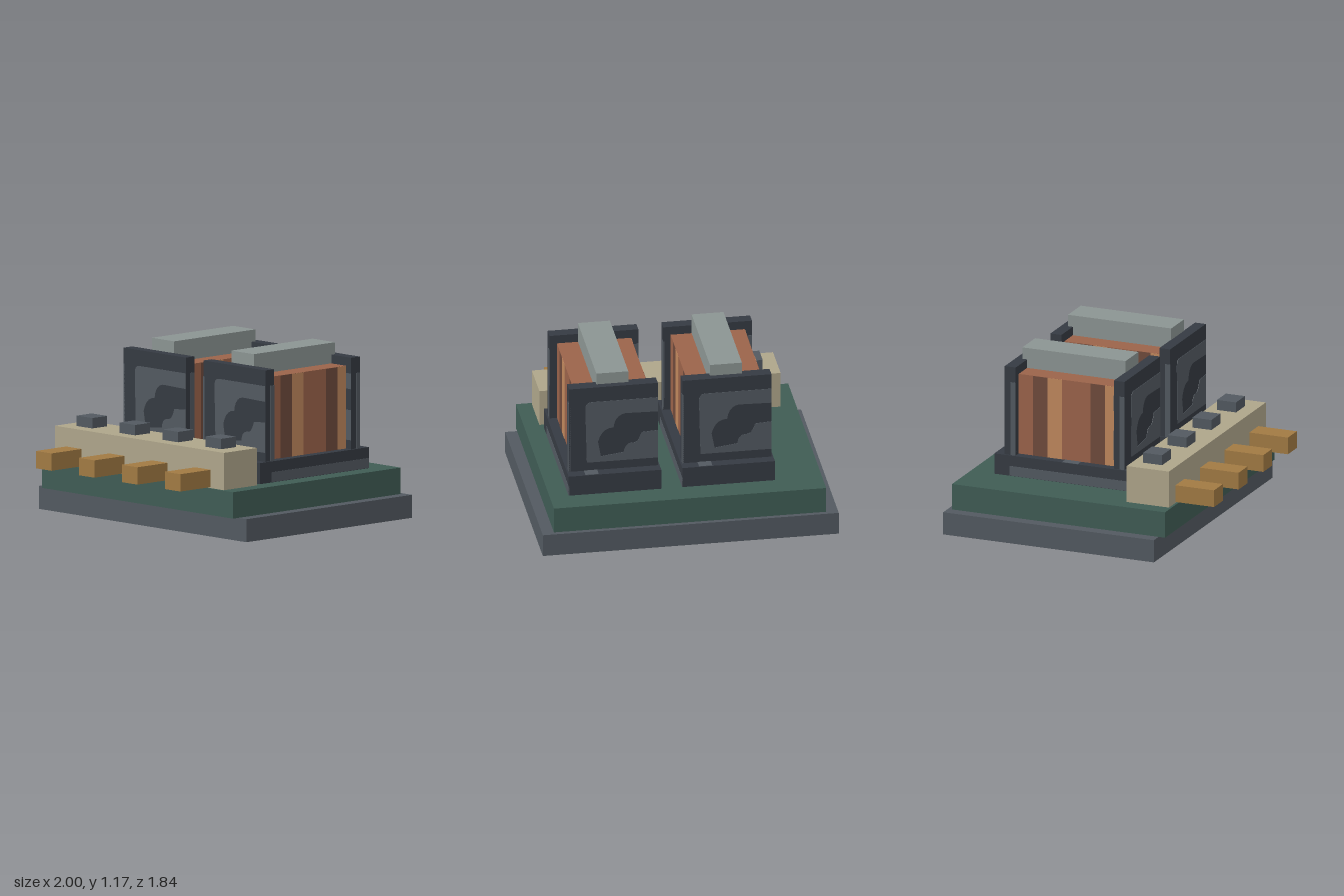
import * as THREE from 'three';

const mat = (name, color, extra = {}) => {
  const m = new THREE.MeshStandardMaterial({ color });
  m.name = name;
  return Object.assign(m, extra);
};

export function createModel() {
  const slate = mat('slate', 0x525960);
  const green = mat('boardGreen', 0x3f5c54);
  const beige = mat('terminalBeige', 0xaea58a);
  const brass = mat('brass', 0xa17a43);
  const dark = mat('darkPlastic', 0x353a42);
  const steel = mat('steel', 0x8b9492);
  const copper = mat('copper', 0x9b634a);
  const copperDark = mat('copperDark', 0x6f4a3c);
  const copperLight = mat('copperLight', 0xc0875d);

  const model = new THREE.Group();
  model.name = 'relayBoard';

  // Box given by its lower and upper limits on each axis
  const box = (parent, name, material, [x0, x1], [y0, y1], [z0, z1]) => {
    const mesh = new THREE.Mesh(new THREE.BoxGeometry(x1 - x0, y1 - y0, z1 - z0), material);
    mesh.position.set((x0 + x1) / 2, (y0 + y1) / 2, (z0 + z1) / 2);
    mesh.name = name;
    parent.add(mesh);
    return mesh;
  };

  // Base and circuit board
  box(model, 'basePlate', slate, [-1, 1], [0, 0.155], [-0.92, 0.61]);
  box(model, 'baseSlot', dark, [-0.72, -0.4], [-0.002, 0.004], [0.27, 0.315]);
  box(model, 'circuitBoard', green, [-0.92, 0.92], [0.155, 0.333], [-0.89, 0.657]);

  // Terminal block with four screws and pins
  box(model, 'terminalBlock', beige, [-0.815, 0.815], [0.333, 0.585], [0.333, 0.64]);
  for (let i = 0; i < 4; i++) {
    const x = -0.631 + i * 0.4145;
    box(model, 'terminalScrew', slate, [x - 0.075, x + 0.075], [0.58, 0.655], [0.405, 0.543]);
    box(model, 'terminalPin', brass, [x - 0.075, x + 0.075], [0.34, 0.457], [0.63, 0.92]);
  }

  // Worn patch on a flange face: a pale ring around a dark blob, open to the right
  const patch = new THREE.Shape();
  patch.moveTo(0.12, 0.06);
  patch.lineTo(0.599, 0.06);
  patch.lineTo(0.599, 0.265);
  patch.lineTo(0.49, 0.258);
  patch.quadraticCurveTo(0.47, 0.19, 0.44, 0.185);
  patch.quadraticCurveTo(0.375, 0.19, 0.37, 0.12);
  patch.lineTo(0.215, 0.1);
  patch.lineTo(0.195, 0.21);
  patch.quadraticCurveTo(0.22, 0.31, 0.3, 0.31);
  patch.quadraticCurveTo(0.31, 0.4, 0.38, 0.41);
  patch.lineTo(0.599, 0.405);
  patch.lineTo(0.599, 0.51);
  patch.lineTo(0.15, 0.51);
  patch.quadraticCurveTo(0.11, 0.51, 0.11, 0.46);
  patch.closePath();
  const patchGeo = new THREE.ExtrudeGeometry(patch, { depth: 0.003, bevelEnabled: false, curveSegments: 5 });
  patchGeo.translate(-0.3, 0.475, 0);

  const addPatch = (parent, z, facing) => {
    const mesh = new THREE.Mesh(patchGeo, slate);
    mesh.name = 'flangePatch';
    mesh.position.z = z;
    mesh.rotation.y = facing > 0 ? 0 : Math.PI;
    parent.add(mesh);
  };

  // One coil, centred on its own x axis
  const makeCoil = (cx) => {
    const coil = new THREE.Group();
    coil.name = 'coil';
    coil.position.x = cx;
    box(coil, 'coilBase', dark, [-0.312, 0.314], [0.333, 0.475], [-0.72, 0.287]);
    box(coil, 'winding', copper, [-0.25, 0.25], [0.47, 1.033], [-0.58, 0.15]);
    box(coil, 'core', steel, [-0.108, 0.108], [1.0, 1.172], [-0.605, 0.145]);

    // Flanges at both ends
    for (const [z0, z1] of [[0.142, 0.22], [-0.65, -0.57]]) {
      box(coil, 'flange', dark, [-0.3, 0.3], [0.47, 1.092], [z0, z1]);
      addPatch(coil, z1, 1);
      addPatch(coil, z0, -1);
      box(coil, 'flangeEdgePatch', slate, [0.29, 0.303], [0.475, 0.985], [z0, z0 + 0.036]);
      box(coil, 'flangeEdgePatch', slate, [-0.303, -0.29], [0.475, 0.985], [z1 - 0.036, z1]);
    }

    // Shaded bands on the winding, read from left to right on each side
    const bands = [[1, copperDark], [2, copperLight], [5, copperDark], [6, copperLight]];
    for (const side of [1, -1]) {
      for (const [i, material] of bands) {
        const a = 0.355 - i * 0.1045 - (i > 0 ? 0.001 : 0);
        const b = Math.max(a - 0.1045, -0.355);
        const za = -0.215 + side * a, zb = -0.215 + side * b;
        box(coil, 'windingBand', material, [side * 0.25 - 0.002, side * 0.25 + 0.002],
          [0.475, 1.032], [Math.min(za, zb), Math.max(za, zb)]);
      }
    }

    // Worn patches on the base
    box(coil, 'basePatch', slate, [0.31, 0.316], [0.335, 0.402], [-0.72, 0.18]);
    box(coil, 'basePatch', slate, [-0.314, -0.308], [0.335, 0.402], [-0.61, 0.287]);
    box(coil, 'basePatch', slate, [-0.31, -0.252], [0.472, 0.477], [-0.23, -0.115]);
    box(coil, 'basePatch', slate, [0.11, 0.2], [0.472, 0.477], [-0.715, -0.65]);
    return coil;
  };
  model.add(makeCoil(-0.29), makeCoil(0.478));

  return model;
}
